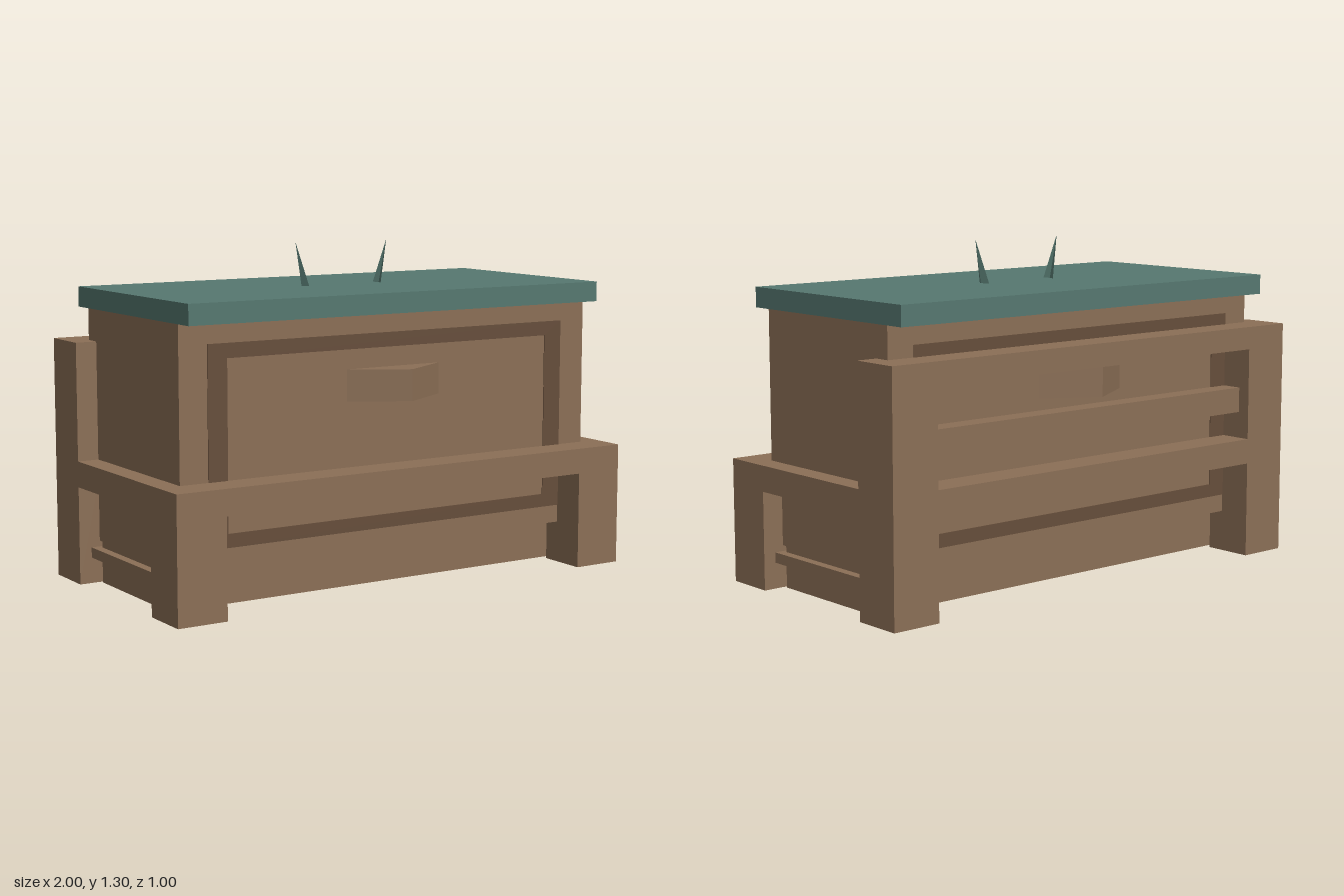
import * as THREE from 'three';

export function createModel() {
  const model = new THREE.Group();
  const mat = (name, color) => {
    const m = new THREE.MeshStandardMaterial({ color });
    m.name = name;
    return m;
  };
  const wood = mat('brown wood', 0x8b6f56);
  const darkWood = mat('dark brown trim', 0x664e3b);
  const green = mat('grey green', 0x567870);

  const add = (name, geometry, material) => {
    const mesh = new THREE.Mesh(geometry, material);
    mesh.name = name;
    model.add(mesh);
    return mesh;
  };
  // Box given by its lower and upper corner
  const box = (name, material, [x0, y0, z0], [x1, y1, z1]) =>
    add(name, new THREE.BoxGeometry(x1 - x0, y1 - y0, z1 - z0), material)
      .position.set((x0 + x1) / 2, (y0 + y1) / 2, (z0 + z1) / 2);

  // Chest: base, body and lid
  box('base', wood, [-0.915, 0.002, -0.278], [0.915, 0.163, 0.278]);
  box('body', wood, [-0.915, 0.163, -0.365], [0.915, 1.06, 0.365]);
  box('lid', green, [-0.917, 1.057, -0.447], [0.917, 1.135, 0.447]);

  // Surrounding frame: legs, rails and side stretchers
  for (const s of [-1, 1]) {
    const side = s > 0 ? 'left' : 'right';
    const xs = (a, b) => (s > 0 ? [a, b] : [-b, -a]);
    const [x0, x1] = xs(0.8, 1);
    box(side + 'FrontLeg', wood, [x0, 0, 0.3], [x1, 0.48, 0.5]);
    box(side + 'BackPost', wood, [x0, 0, -0.5], [x1, 0.935, -0.3]);
    box(side + 'SideRail', wood, [x0, 0.38, -0.3], [x1, 0.48, 0.3]);
    const [b0, b1] = xs(0.85, 0.95);
    box(side + 'Stretcher', wood, [b0, 0.1, -0.3], [b1, 0.14, 0.3]);
  }
  box('frontRail', wood, [-0.8, 0.38, 0.3], [0.8, 0.48, 0.5]);
  box('backRail', wood, [-0.8, 0.38, -0.5], [0.8, 0.48, -0.3]);
  box('backTopRail', wood, [-0.8, 0.845, -0.5], [0.8, 0.935, -0.3]);
  box('backSlat', wood, [-0.8, 0.585, -0.45], [0.8, 0.685, -0.35]);

  // Panel trim and pointed handle, on the front and on the back
  const rect = (C, x, y0, y1) => new C([
    new THREE.Vector2(-x, y0), new THREE.Vector2(x, y0),
    new THREE.Vector2(x, y1), new THREE.Vector2(-x, y1)]);
  const trim = rect(THREE.Shape, 0.8, 0.233, 0.98);
  trim.holes.push(rect(THREE.Path, 0.72, 0.285, 0.925));
  const trimGeo = new THREE.ExtrudeGeometry(trim, { depth: 0.004, bevelEnabled: false });
  trimGeo.translate(0, 0, 0.364);

  const wedge = new THREE.Shape([
    new THREE.Vector2(-0.21, -0.364), new THREE.Vector2(0, -0.49), new THREE.Vector2(0.21, -0.364)]);
  const handleGeo = new THREE.ExtrudeGeometry(wedge, { depth: 0.12, bevelEnabled: false });
  handleGeo.rotateX(-Math.PI / 2).translate(0, 0.73, 0);

  for (const [end, turn] of [['front', 0], ['back', Math.PI]]) {
    add(end + 'Trim', trimGeo, darkWood).rotation.y = turn;
    add(end + 'Handle', handleGeo, wood).rotation.y = turn;
  }

  // Folded spikes leaning outwards from the lid
  const base = [[0.165, 0.028], [0.183, 0], [0.165, -0.028], [0.174, 0]];
  const verts = [];
  base.forEach(([x, z], i) => {
    const [nx, nz] = base[(i + 1) % 4];
    verts.push(x, 1.134, z, nx, 1.134, nz, 0.21, 1.305, 0);
  });
  const spikeGeo = new THREE.BufferGeometry();
  spikeGeo.setAttribute('position', new THREE.Float32BufferAttribute(verts, 3));
  spikeGeo.computeVertexNormals();
  add('leftSpike', spikeGeo, green);
  add('rightSpike', spikeGeo, green).rotation.y = Math.PI;

  // Small plate under the base
  box('undersidePlate', green, [-0.07, 0, -0.06], [0.07, 0.004, 0.06]);

  return model;
}
